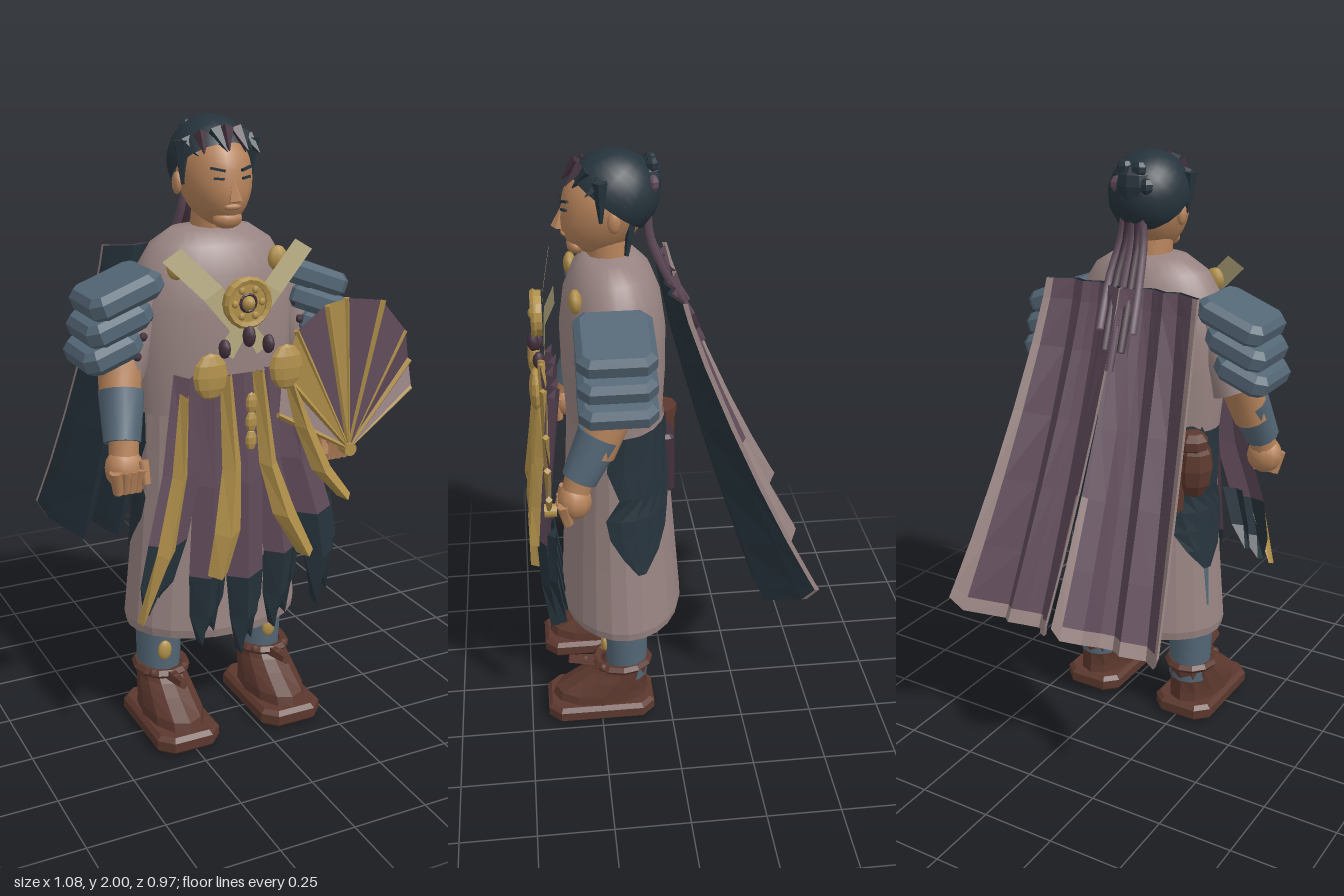
import * as THREE from 'three';
import { toCreasedNormals } from 'three/addons/utils/BufferGeometryUtils.js';

const V = (x, y, z) => new THREE.Vector3(x, y, z);
const CX = -0.07; // body centre line

export function createModel() {
  const root = new THREE.Group();
  root.name = 'robedWarrior';
  const M = {};
  const colours = {
    mauveCloth: 0x988482, purpleCloth: 0x5f4a59, navyCloth: 0x26333c, gold: 0xb08f4a, paleGold: 0xb5a97f,
    steel: 0x536675, skin: 0xb5825a, brownLeather: 0x5c382e, darkPlum: 0x43303c,
  };
  const solid = ['steel', 'skin'];
  for (const [name, color] of Object.entries(colours)) {
    M[name] = new THREE.MeshStandardMaterial({ color });
    M[name].name = name;
    if (!solid.includes(name)) M[name].side = THREE.DoubleSide;
  }

  const add = (name, geo, mat, x = 0, y = 0, z = 0) => {
    const m = new THREE.Mesh(geo, M[mat]);
    m.name = name;
    m.position.set(x, y, z);
    root.add(m);
    return m;
  };
  const flat = (g) => {
    const n = g.index ? g.toNonIndexed() : g;
    n.computeVertexNormals();
    return n;
  };
  const ball = (sx, sy, sz, w = 10, h = 8) => new THREE.SphereGeometry(1, w, h).scale(sx, sy, sz);
  // Chamfered slab: plan w by d with clipped corners, thickness h along y
  const slab = (w, d, h, b, cut) => {
    const x = w / 2 - b, y = d / 2 - b;
    const s = new THREE.Shape([[cut - x, -y], [x - cut, -y], [x, cut - y], [x, y - cut], [x - cut, y], [cut - x, y], [-x, y - cut], [-x, cut - y]].map((p) => new THREE.Vector2(...p)));
    const g = new THREE.ExtrudeGeometry(s, { depth: h - 2 * b, bevelThickness: b, bevelSize: b, bevelSegments: 1 });
    return flat(g.center().rotateX(Math.PI / 2));
  };
  // Tapered limb between two points
  const limb = (name, a, b, ra, rb, mat, seg = 12) => {
    const d = b.clone().sub(a);
    const g = toCreasedNormals(new THREE.CylinderGeometry(rb, ra, d.length(), seg), 0.9);
    const m = add(name, g, mat, ...a.clone().add(b).multiplyScalar(0.5).toArray());
    m.quaternion.setFromUnitVectors(V(0, 1, 0), d.normalize());
    return m;
  };
  // Faceted cloth from rows of points, coloured cell by cell
  const sheet = (name, rows, pick) => {
    const tris = {};
    for (let i = 0; i < rows.length - 1; i++) for (let j = 0; j < rows[0].length - 1; j++) {
      const a = rows[i][j], b = rows[i + 1][j], c = rows[i + 1][j + 1], d = rows[i][j + 1];
      (tris[pick(i, j)] ??= []).push(a, b, c, a, c, d);
    }
    for (const [mat, pts] of Object.entries(tris)) add(name, flat(new THREE.BufferGeometry().setFromPoints(pts)), mat);
  };

  // Torso
  const profile = [[0, 1.675], [0.13, 1.665], [0.2, 1.62], [0.25, 1.54], [0.275, 1.43], [0.272, 1.27], [0.255, 1.1]];
  const torso = new THREE.LatheGeometry(profile.reverse().map((p) => new THREE.Vector2(...p)), 28).scale(1, 1, 0.63);
  add('torso', torso, 'mauveCloth', -0.075, 0, 0.165);

  // Flared skirt
  const SEG = 24;
  const skirtAt = (y, a, out = 0) => {
    const t = Math.max(0, (1.13 - y) / 0.75);
    return V(CX + (0.25 + 0.052 * t ** 1.5 + out) * Math.cos(a), y, 0.162 - t * 0.008 + (0.163 + 0.051 * t + out) * Math.sin(a));
  };
  sheet('skirt', [1.13, 0.98, 0.82, 0.62, 0.38, 0.35].map((y, i) => Array.from({ length: SEG + 1 }, (_, j) =>
    skirtAt(y, (j / SEG) * Math.PI * 2, i === 5 ? -0.008 : 0))), () => 'mauveCloth');
  // Torn dark side panels; [y, back angle, front angle] in degrees
  const tear = [[1.125, -75, 14], [1.0, -70, 16], [0.9, -62, 4], [0.82, -55, 18], [0.75, -48, 14], [0.68, -36, 2], [0.61, -20, -12]];
  for (const s of [-1, 1]) {
    const rad = (deg) => (s > 0 ? deg : 180 - deg) * Math.PI / 180;
    sheet('skirtPanel', tear.map(([y, a, b]) => [0, 0.2, 0.4, 0.6, 0.8, 1].map((t) => skirtAt(y, rad(a + (b - a) * t), 0.007))), () => 'navyCloth');
    sheet('skirtDrip', [[0.62, 3], [0.47, 1]].map(([y, w]) => [skirtAt(y, rad(-17 - w), 0.006), skirtAt(y, rad(-17 + w), 0.006)]), () => 'steel');
  }

  // Legs, boots and ornaments; boot rings are [y, centre z, half width, half length]
  const bootRings = [[0.05, 0.25, 0.098, 0.175], [0.09, 0.245, 0.095, 0.165], [0.14, 0.205, 0.088, 0.125], [0.17, 0.18, 0.082, 0.105], [0.2, 0.165, 0.08, 0.09]];
  for (const x of [-0.263, 0.117]) {
    limb('leg', V(x, 0.14, 0.15), V(x, 0.6, 0.16), 0.072, 0.085, 'steel');
    add('shinOrnament', ball(0.025, 0.035, 0.014), 'gold', x + (x > 0 ? 0 : -0.01), 0.27, 0.23);
    add('sole', slab(0.22, 0.38, 0.06, 0.014, 0.035), 'brownLeather', x, 0.03, 0.25);
    sheet('bootUpper', bootRings.map(([y, z, w, l]) => Array.from({ length: 13 }, (_, j) => {
      const a = (j / 12) * Math.PI * 2;
      return V(x + w * Math.cos(a), y, z + l * Math.sin(a));
    })), () => 'brownLeather');
    add('bootCuff', flat(new THREE.TorusGeometry(0.08, 0.016, 5, 12).rotateX(Math.PI / 2).scale(1, 1, 1.15)), 'brownLeather', x, 0.197, 0.17);
    for (let k = -1; k <= 1; k++) add('bootStud', ball(0.018, 0.016, 0.018, 6, 5), 'brownLeather', x + k * 0.055, 0.2, 0.3 - Math.abs(k) * 0.06);
    limb('bootStrap', V(x, 0.19, 0.26), V(x, 0.205, 0.36), 0.022, 0.016, 'brownLeather', 5);
  }

  // Arms, bracers, hands and layered shoulder plates
  for (const s of [-1, 1]) {
    const X = (d) => -0.075 + s * d;
    limb('sleeve', V(X(0.225), 1.47, 0.17), V(X(0.315), 1.24, 0.18), 0.08, 0.08, 'mauveCloth');
    limb('elbow', V(X(0.315), 1.3, 0.18), V(X(0.345), 1.13, 0.25), 0.072, 0.062, 'skin');
    limb('bracer', V(X(0.335), 1.19, 0.235), V(X(0.362), 1.05, 0.305), 0.072, 0.058, 'steel');
    limb('wrist', V(X(0.355), 1.07, 0.3), V(X(0.365), 0.99, 0.32), 0.047, 0.045, 'skin');
    add('palm', ball(0.062, 0.064, 0.056), 'skin', X(0.365), 0.975, 0.322);
    for (let k = 0; k < 4; k++) limb('finger', V(X(0.325 + k * 0.027), 0.98, 0.36), V(X(0.333 + k * 0.02), 0.905, 0.345), 0.021, 0.017, 'skin', 7);
    limb('thumb', V(X(0.315), 1.0, 0.35), V(X(0.312), 0.93, 0.37), 0.02, 0.015, 'skin', 7);
    for (let k = 0; k < 3; k++) {
      const p = add('shoulderPlate', slab(0.245 - k * 0.025, 0.245, 0.078, 0.02, 0.022), 'steel', X(0.322 + k * 0.024), 1.49 - k * 0.085, 0.18);
      p.rotation.z = -s * 0.36;
      add('sleeveStud', ball(0.014, 0.014, 0.014, 6, 5), 'darkPlum', X(0.25 + k * 0.02), 1.42 - k * 0.06, 0.262);
    }
    add('chestStud', ball(0.034, 0.04, 0.022, 8, 6), 'gold', X(0.17), 1.57, 0.29);
  }

  // Head
  const headGeo = new THREE.SphereGeometry(1, 18, 16);
  const hp = headGeo.attributes.position;
  for (let i = 0; i < hp.count; i++) {
    const y = hp.getY(i), low = Math.max(0, -y);
    hp.setXYZ(i, hp.getX(i) * 0.113 * (1 - 0.15 * low), y * 0.148, hp.getZ(i) * 0.138 + low * 0.035);
  }
  headGeo.computeVertexNormals();
  add('head', headGeo, 'skin', CX, 1.818, 0.18);
  limb('neck', V(CX, 1.6, 0.165), V(CX, 1.77, 0.18), 0.072, 0.066, 'skin');
  const nose = add('nose', flat(new THREE.ConeGeometry(0.022, 0.08, 5)), 'skin', CX, 1.795, 0.32);
  nose.rotation.x = -0.25;
  add('lips', ball(0.03, 0.011, 0.012, 8, 6), 'skin', CX, 1.74, 0.31);
  add('chin', ball(0.05, 0.03, 0.03), 'skin', CX, 1.7, 0.275);
  for (const s of [-1, 1]) {
    add('ear', ball(0.014, 0.035, 0.022, 8, 6), 'skin', CX + s * 0.115, 1.8, 0.16);
    add('eye', new THREE.BoxGeometry(0.032, 0.006, 0.009), 'navyCloth', CX + s * 0.045, 1.825, 0.31).rotation.set(0, s * 0.4, s * 0.1);
    add('eyebrow', new THREE.BoxGeometry(0.046, 0.007, 0.009), 'navyCloth', CX + s * 0.048, 1.852, 0.307).rotation.set(0, s * 0.4, s * 0.2);
    limb('sideLock', V(CX + s * 0.118, 1.93, 0.2), V(CX + s * 0.113, 1.8, 0.2), 0.026, 0.006, 'navyCloth', 5);
  }

  // Hair, fringe, bun and ponytail strands
  const cap = new THREE.SphereGeometry(1, 18, 10, 0, Math.PI * 2, 0, Math.PI * 0.56).rotateX(-0.68).scale(0.132, 0.14, 0.147);
  add('hairCap', cap, 'navyCloth', CX, 1.86, 0.155);
  for (let k = -3; k <= 3; k++) {
    const x = CX + k * 0.034, z = 0.29 - k * k * 0.007, lean = k % 2 ? 0.02 : -0.012;
    limb('fringeSpike', V(x, 1.965 - k * k * 0.004, z - 0.03), V(x + lean, 1.905 - k * k * 0.002, z + 0.02), 0.024, 0.002, k === -2 || k === 0 || k === 1 ? 'darkPlum' : 'navyCloth', 4);
  }
  add('bun', flat(ball(0.06, 0.07, 0.045, 8, 6)), 'navyCloth', CX, 1.9, 0.045);
  for (let k = 0; k < 6; k++) {
    const a = (k / 6) * Math.PI * 2;
    add('bunCurl', flat(ball(0.028, 0.028, 0.022, 6, 5)), k === 0 ? 'purpleCloth' : 'navyCloth', CX + 0.05 * Math.cos(a), 1.9 + 0.06 * Math.sin(a), 0.035);
  }
  for (let k = -2; k <= 2; k++) {
    const pts = [V(CX + k * 0.012, 1.88, 0.04), V(CX + k * 0.02, 1.74, 0.045), V(CX + k * 0.028, 1.61, -0.005), V(CX + k * 0.03 - 0.02, 1.34 + Math.abs(k) * 0.06, -0.135 + Math.abs(k) * 0.022)];
    add('ponytailStrand', new THREE.TubeGeometry(new THREE.CatmullRomCurve3(pts), 10, 0.014, 5), k % 2 ? 'darkPlum' : 'purpleCloth');
  }
  limb('neckLock', V(0.0, 1.8, 0.1), V(0.005, 1.68, 0.12), 0.018, 0.008, 'navyCloth', 5);

  // Cape: two folded halves, dark lining, pale edges; hem points [x, z] from centre outwards
  const hem = [[0.012, -0.48], [0.03, -0.46], [0.08, -0.41], [0.11, -0.35], [0.145, -0.32], [0.18, -0.355], [0.215, -0.4], [0.275, -0.33], [0.365, -0.445], [0.395, -0.48]];
  const vs = [0, 0.06, 0.2, 0.4, 0.6, 0.8, 0.96, 1];
  for (const s of [-1, 1]) {
    const capeRows = (dz) => vs.map((v) => hem.map(([x, z], j) => {
      const topX = 0.002 + ((x - 0.012) / 0.383) * 0.275;
      const fold = (z + 0.4) * (0.25 + 0.75 * v);
      const run = -0.02 - 0.38 * Math.pow(v, 1.18);
      const lift = j === 0 || j === 9 ? 0.04 : 0;
      return V(-0.077 + s * (topX + (x - topX) * Math.pow(v, 1.2)), 1.59 - 1.05 * v - (z + 0.48) * 0.5 * v + lift * v ** 4, run + fold + dz);
    }));
    const outer = capeRows(-0.008), inner = capeRows(0.008);
    sheet('capeOuter', outer, (i, j) => (i === 6 || j === 8 || (j === 0 && i > 3) ? 'mauveCloth' : 'purpleCloth'));
    sheet('capeLining', inner, () => 'navyCloth');
    // Pale strips joining cloth and lining
    for (const j of [0, 9]) sheet('capeEdge', outer.map((r, i) => [r[j], inner[i][j]]), () => 'mauveCloth');
    sheet('capeHem', [outer[7], inner[7]], () => 'mauveCloth');
  }

  // Hanging ribbons; points are [x, y, width]
  const zAt = (y) => (y > 0.7 ? 0.37 + (1.25 - y) * 0.12 : 0.436 - (0.7 - y) * 0.14);
  const ribbon = (name, pts, layer, body, tip, from) => {
    const rows = pts.map(([x, y, w]) => [-0.5, 0, 0.5].map((u) => V(x + u * w, y + (u ? 0.01 : 0), zAt(y) + layer + (u ? -0.01 : 0.02))));
    sheet(name, rows, (i) => (i >= from ? tip : body));
  };
  const robes = [
    [[-0.25, 1.25, 0.08], [-0.28, 0.95, 0.13], [-0.34, 0.74, 0.13], [-0.375, 0.6, 0.11], [-0.41, 0.52, 0.02]],
    [[-0.16, 1.25, 0.1], [-0.18, 0.9, 0.12], [-0.2, 0.6, 0.12], [-0.2, 0.45, 0.1], [-0.21, 0.35, 0.02]],
    [[-0.07, 1.25, 0.11], [-0.07, 0.9, 0.13], [-0.07, 0.58, 0.13], [-0.06, 0.42, 0.1], [-0.07, 0.29, 0.02]],
    [[0.02, 1.25, 0.1], [0.03, 0.9, 0.12], [0.06, 0.64, 0.12], [0.06, 0.48, 0.1], [0.05, 0.36, 0.02]],
    [[0.1, 1.25, 0.08], [0.12, 0.95, 0.13], [0.17, 0.76, 0.13], [0.2, 0.6, 0.11], [0.2, 0.42, 0.02]],
  ];
  robes.forEach((p, k) => {
    ribbon('robePanel', p, (k % 2) * -0.012, 'purpleCloth', 'navyCloth', 2);
    ribbon('robeTatter', p.slice(2).map(([x, y, w]) => [x + 0.045, y + 0.04, w * 0.6]), -0.03, 'navyCloth', 'navyCloth', 0);
  });
  [
    [[-0.27, 1.2, 0.03], [-0.3, 0.95, 0.05], [-0.36, 0.72, 0.06], [-0.44, 0.5, 0.012]],
    [[-0.13, 1.25, 0.04], [-0.125, 0.95, 0.065], [-0.15, 0.75, 0.09], [-0.18, 0.61, 0.07]],
    [[-0.02, 1.25, 0.04], [0.0, 0.95, 0.06], [0.05, 0.78, 0.08], [0.13, 0.63, 0.06]],
    [[0.08, 1.22, 0.03], [0.13, 1.05, 0.06], [0.19, 0.9, 0.07], [0.27, 0.8, 0.05]],
  ].forEach((p) => ribbon('goldRibbon', p, 0.028, 'gold', 'gold', 9));

  // Chest straps, medallion, discs and beads
  for (const s of [-1, 1]) {
    const strap = [[0.22, 1.62, 0.355], [0.1, 1.5, 0.385], [-0.06, 1.31, 0.39]];
    sheet('chestStrap', strap.map(([x, y, z]) => [V(CX + s * (x - 0.03), y + 0.018, z), V(CX + s * (x + 0.03), y - 0.018, z)]), () => 'paleGold');
    add('waistDisc', flat(ball(0.058, 0.072, 0.022, 10, 6)), 'gold', CX + s * 0.128, 1.26, 0.425);
    add('bead', ball(0.02, 0.03, 0.02, 8, 6), 'darkPlum', CX + s * 0.074, 1.335, 0.41);
  }
  add('bead', ball(0.022, 0.034, 0.02, 8, 6), 'darkPlum', CX, 1.37, 0.425);
  sheet('waistKnot', [[V(CX - 0.012, 1.35, 0.405), V(CX + 0.012, 1.35, 0.405)], [V(CX - 0.07, 1.25, 0.4), V(CX + 0.07, 1.25, 0.4)]], () => 'mauveCloth');
  const disc = (r, h) => flat(new THREE.CylinderGeometry(r, r, h, 16).rotateX(Math.PI / 2));
  add('medallion', disc(0.075, 0.025), 'gold', CX, 1.47, 0.405);
  add('medallionRim', flat(new THREE.TorusGeometry(0.068, 0.012, 5, 16)), 'gold', CX, 1.47, 0.418);
  add('medallionRing', flat(new THREE.TorusGeometry(0.026, 0.005, 4, 12)), 'darkPlum', CX, 1.47, 0.418);
  add('medallionBoss', ball(0.022, 0.022, 0.018, 8, 6), 'gold', CX, 1.47, 0.42);
  for (let k = 0; k < 6; k++) {
    const a = (k / 6) * Math.PI * 2;
    add('medallionKnob', ball(0.012, 0.012, 0.009, 6, 5), 'gold', CX + 0.045 * Math.cos(a), 1.47 + 0.045 * Math.sin(a), 0.42);
  }
  for (let k = 0; k < 3; k++) add('pendantLink', flat(ball(0.02, 0.034, 0.012, 8, 5)), 'gold', -0.06, 1.16 - k * 0.06, 0.425);

  // Folding fan in the left hand; [angle in degrees, radius]
  const spokes = [[150, 0.3], [131, 0.37], [116, 0.46], [101, 0.49], [93, 0.5], [77, 0.49], [62, 0.42], [51, 0.35], [38, 0.29]];
  const leaf = ['mauveCloth', 'gold', 'purpleCloth', 'gold', 'purpleCloth', 'purpleCloth', 'purpleCloth', 'mauveCloth'];
  const at = (a, r, z) => V(0.305 + r * Math.cos(a * Math.PI / 180), 0.95 + r * Math.sin(a * Math.PI / 180), z);
  sheet('fanLeaf', [1, 0.03].map((f) => spokes.map(([a, r], j) => at(a, r * f, j % 2 ? 0.395 : 0.41))), (i, j) => leaf[j]);
  for (const [a, r] of spokes) limb('fanRib', at(a, 0, 0.405), at(a, r, 0.405), 0.006, 0.011, 'gold', 4);
  add('fanPivot', disc(0.022, 0.04), 'gold', 0.305, 0.95, 0.4);

  // Belt pouches
  add('roundPouch', flat(ball(0.065, 0.11, 0.065, 8, 6)), 'brownLeather', -0.315, 1.0, 0.04);
  add('pouchFlap', flat(ball(0.055, 0.045, 0.055, 8, 5)), 'brownLeather', -0.31, 1.085, 0.035);
  add('canister', flat(new THREE.CylinderGeometry(0.06, 0.055, 0.16, 10)), 'brownLeather', -0.24, 0.93, -0.005);
  add('canisterLid', flat(new THREE.CylinderGeometry(0.065, 0.065, 0.03, 10)), 'brownLeather', -0.24, 1.015, -0.005);
  add('backPouch', slab(0.12, 0.05, 0.22, 0.012, 0.006), 'darkPlum', -0.02, 0.94, -0.005);

  return root;
}
